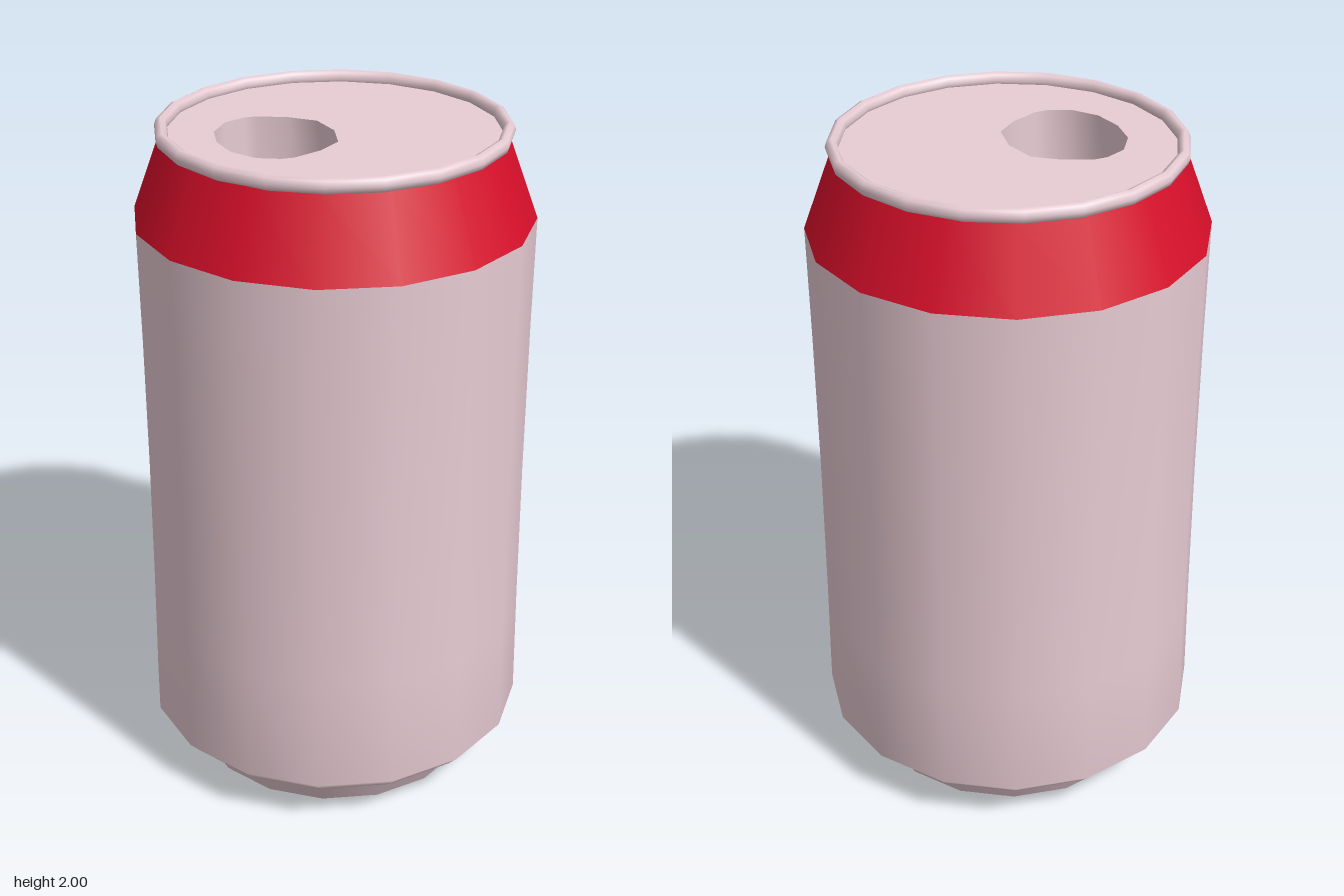
import * as THREE from 'three';

const PINK = new THREE.MeshStandardMaterial({ color: 0xe8ccd4 });
const RED = new THREE.MeshStandardMaterial({ color: 0xd80f2a });
const INNER = new THREE.MeshStandardMaterial({ color: 0xe8ccd4, side: THREE.DoubleSide });

const SIDES = 16, RIM_SIDES = 20;
const RIM_TURN = THREE.MathUtils.degToRad(-2.3);
const LID_Y = 1.968, WELL_DEPTH = 0.3;

// half outline of the drinking hole, mirrored to the other half
const half = [[0, 0], [-0.02, 0.097], [-0.087, 0.152], [-0.17, 0.187], [-0.207, 0.187],
  [-0.27, 0.16], [-0.32, 0.09], [-0.335, 0]];
const holePoints = [...half, ...half.slice(1, -1).reverse().map(([x, y]) => [x, -y])]
  .map(([x, y]) => new THREE.Vector2(x, y));

export function createModel() {
  const can = new THREE.Group();
  can.name = 'can';

  const add = (name, geometry, material = PINK) => {
    const mesh = new THREE.Mesh(geometry, material);
    mesh.name = name;
    can.add(mesh);
  };
  const lathe = (points) =>
    new THREE.LatheGeometry(points.map(([r, y]) => new THREE.Vector2(r, y)), SIDES);

  // body with a very slight waist, rounded under at the bottom
  add('body', lathe([[0.485, 0.11], [0.535, 0.118], [0.57, 0.155], [0.566, 0.5],
    [0.564, 0.94], [0.566, 1.4], [0.57, 1.73]]));
  add('shoulder', lathe([[0.57, 1.73], [0.485, 1.962]]), RED);

  // tapered foot with a hollow dome under it
  add('foot', lathe([[0.43, 0], [0.495, 0.112]]));
  const dome = [];
  for (let i = 0; i <= 6; i++) {
    const t = i / 6;
    dome.push([0.43 * t, 0.2 * (1 - t * t)]);
  }
  add('bottomDome', lathe(dome));

  // rolled rim
  const rim = new THREE.TorusGeometry(0.482, 0.018, 8, RIM_SIDES);
  rim.rotateZ(RIM_TURN).rotateX(-Math.PI / 2).scale(1, 1.25, 1).translate(0, 1.9775, 0);
  add('rim', rim);

  // flat lid with the drinking hole
  const lidShape = new THREE.Shape();
  for (let i = 0; i < RIM_SIDES; i++) {
    const a = (i / RIM_SIDES) * Math.PI * 2 + RIM_TURN;
    lidShape[i ? 'lineTo' : 'moveTo'](0.48 * Math.cos(a), 0.48 * Math.sin(a));
  }
  lidShape.closePath();
  lidShape.holes.push(new THREE.Path(holePoints));
  add('lid', new THREE.ShapeGeometry(lidShape).rotateX(-Math.PI / 2).translate(0, LID_Y, 0));

  // wall and floor inside the drinking hole
  const n = holePoints.length;
  const wall = new THREE.CylinderGeometry(1, 1, WELL_DEPTH, n, 1, true);
  const pos = wall.attributes.position;
  for (let i = 0; i < pos.count; i++) {
    const p = holePoints[(i % (n + 1)) % n];
    pos.setX(i, p.x);
    pos.setZ(i, -p.y);
  }
  wall.computeVertexNormals();
  add('holeWall', wall.translate(0, LID_Y - WELL_DEPTH / 2, 0), INNER);
  add('holeFloor', new THREE.ShapeGeometry(new THREE.Shape(holePoints))
    .rotateX(-Math.PI / 2).translate(0, LID_Y - WELL_DEPTH, 0));

  return can;
}
